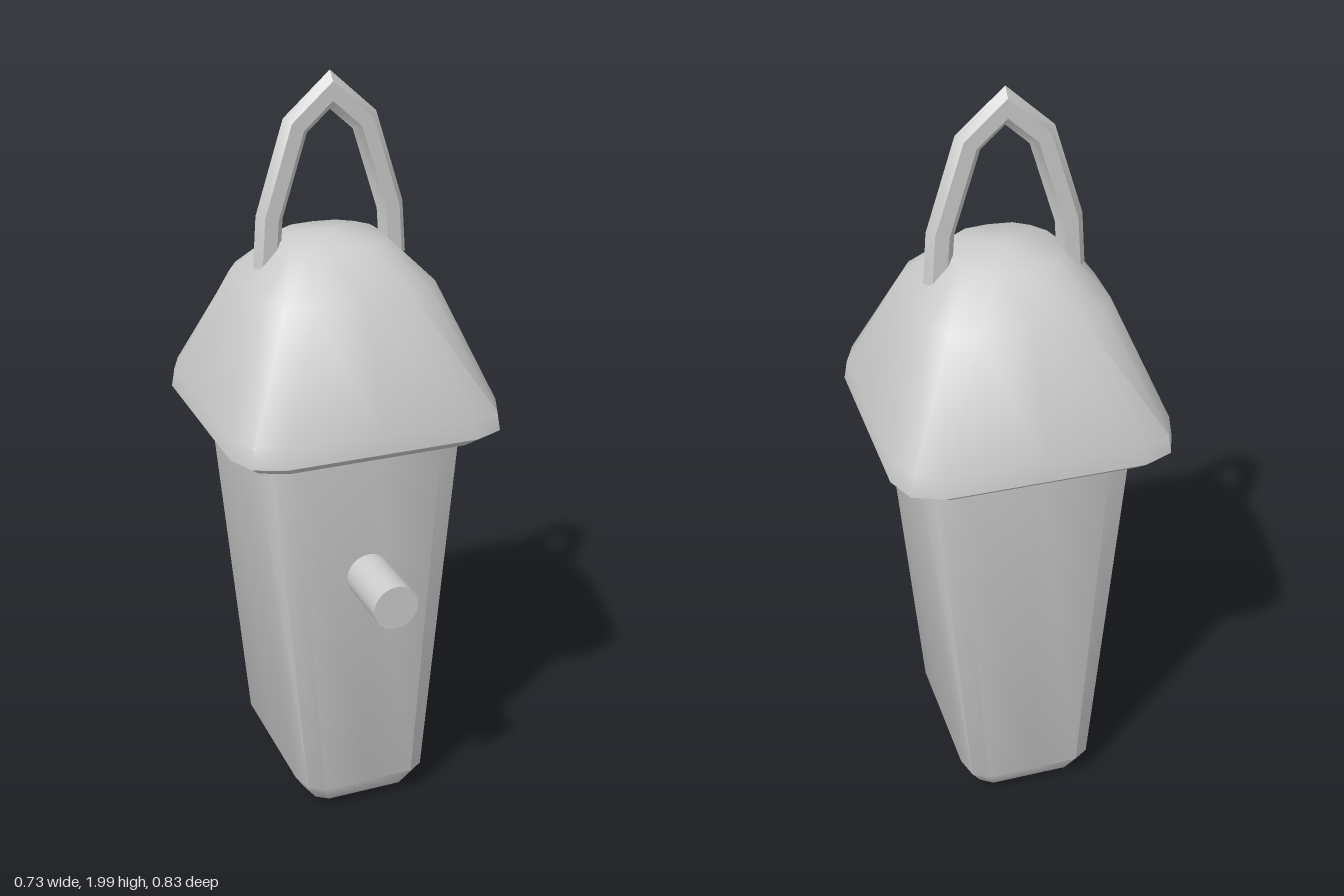
import * as THREE from 'three';
import { toCreasedNormals } from 'three/addons/utils/BufferGeometryUtils.js';

const material = new THREE.MeshStandardMaterial({ color: 0xcccccc });

// Skins a stack of equal-sized rings and closes both ends with a fan.
function loft(rings, endRise = 0) {
  const n = rings[0].length;
  const points = rings.flat();
  const index = [];
  for (let i = 0; i < rings.length - 1; i++) {
    for (let j = 0; j < n; j++) {
      const a = i * n + j, b = i * n + (j + 1) % n;
      index.push(a, a + n, b + n, a, b + n, b);
    }
  }
  const centre = (ring) => ring.reduce((s, p) => s.add(p), new THREE.Vector3()).divideScalar(n);
  const first = points.length, top = first - n;
  const last = rings[rings.length - 1];
  const all = [...points, centre(rings[0]), centre(last).add(new THREE.Vector3(0, endRise, 0))];
  for (let j = 0; j < n; j++) {
    const k = (j + 1) % n;
    index.push(first, j, k, first + 1, top + k, top + j);
  }
  const geometry = new THREE.BufferGeometry().setFromPoints(all);
  geometry.setIndex(index);
  return toCreasedNormals(geometry, 0.73);
}

// Rounded square ring: side middle, shoulder and corner given as fractions of the half width.
function squareRing(y, hx, hz, shoulder = 0.7, corner = 0.912, edge = 1) {
  const quarter = [[1, 0], [edge, shoulder], [corner, corner], [shoulder, edge]];
  const ring = [];
  for (let q = 0; q < 4; q++) {
    for (const [a, b] of quarter) {
      const [u, v] = [[a, b], [-b, a], [-a, -b], [b, -a]][q];
      ring.push(new THREE.Vector3(u * hx, y, v * hz));
    }
  }
  return ring;
}

function part(name, geometry, x = 0, y = 0, z = 0) {
  const mesh = new THREE.Mesh(geometry, material);
  mesh.name = name;
  mesh.position.set(x, y, z);
  return mesh;
}

export function createModel() {
  const model = new THREE.Group();
  model.name = 'birdhouse';
  const midZ = -0.05;

  // Body tapering in width only, with a rounded foot
  model.add(part('body', loft([
    squareRing(0, 0.1, 0.2),
    squareRing(0.025, 0.15, 0.25),
    squareRing(0.08, 0.183, 0.28),
    squareRing(1.12, 0.283, 0.28),
  ]), 0, 0, midZ));

  // Domed roof with a rolled eave
  const roof = [
    [1.085, 0.335, 0.7, 0.912, 1],
    [1.11, 0.365, 0.7, 0.912, 1],
    [1.16, 0.358, 0.7, 0.912, 1],
    [1.46, 0.238, 0.55, 0.82, 0.98],
    [1.565, 0.137, 0.45, 0.74, 0.95],
  ];
  model.add(part('roof', loft(roof.map(([y, h, ...shape]) => squareRing(y, h, h, ...shape)), 0.02), 0, 0, midZ));

  // Perch on the front wall
  const perch = new THREE.CylinderGeometry(0.06, 0.06, 0.25, 24).rotateX(Math.PI / 2);
  model.add(part('perch', perch, -0.004, 0.73, 0.29));

  // Pointed hanging loop with a flattened six-sided section, mitred at its bends
  const side = [[0.172, 1.5], [0.163, 1.63], [0.092, 1.855]];
  const path = [...side.map(([x, y]) => [-x, y]), [0, 1.937], ...side.slice().reverse()]
    .map(([x, y]) => new THREE.Vector3(x, y, 0));
  const forward = new THREE.Vector3(0, 0, 1);
  const rings = path.map((p, i) => {
    const before = p.clone().sub(path[Math.max(i - 1, 0)]).normalize();
    const after = path[Math.min(i + 1, path.length - 1)].clone().sub(p).normalize();
    const along = before.clone().add(after).normalize();
    const mitre = i === 0 || i === path.length - 1 ? 1 : 1 / along.dot(after);
    const across = along.clone().cross(forward);
    return Array.from({ length: 6 }, (_, j) => {
      const t = j * Math.PI / 3;
      return p.clone()
        .addScaledVector(across, Math.cos(t) * 0.036 * mitre)
        .addScaledVector(forward, Math.sin(t) * 0.0265);
    });
  });
  model.add(part('hangingLoop', loft(rings), 0, 0, -0.057));

  return model;
}
